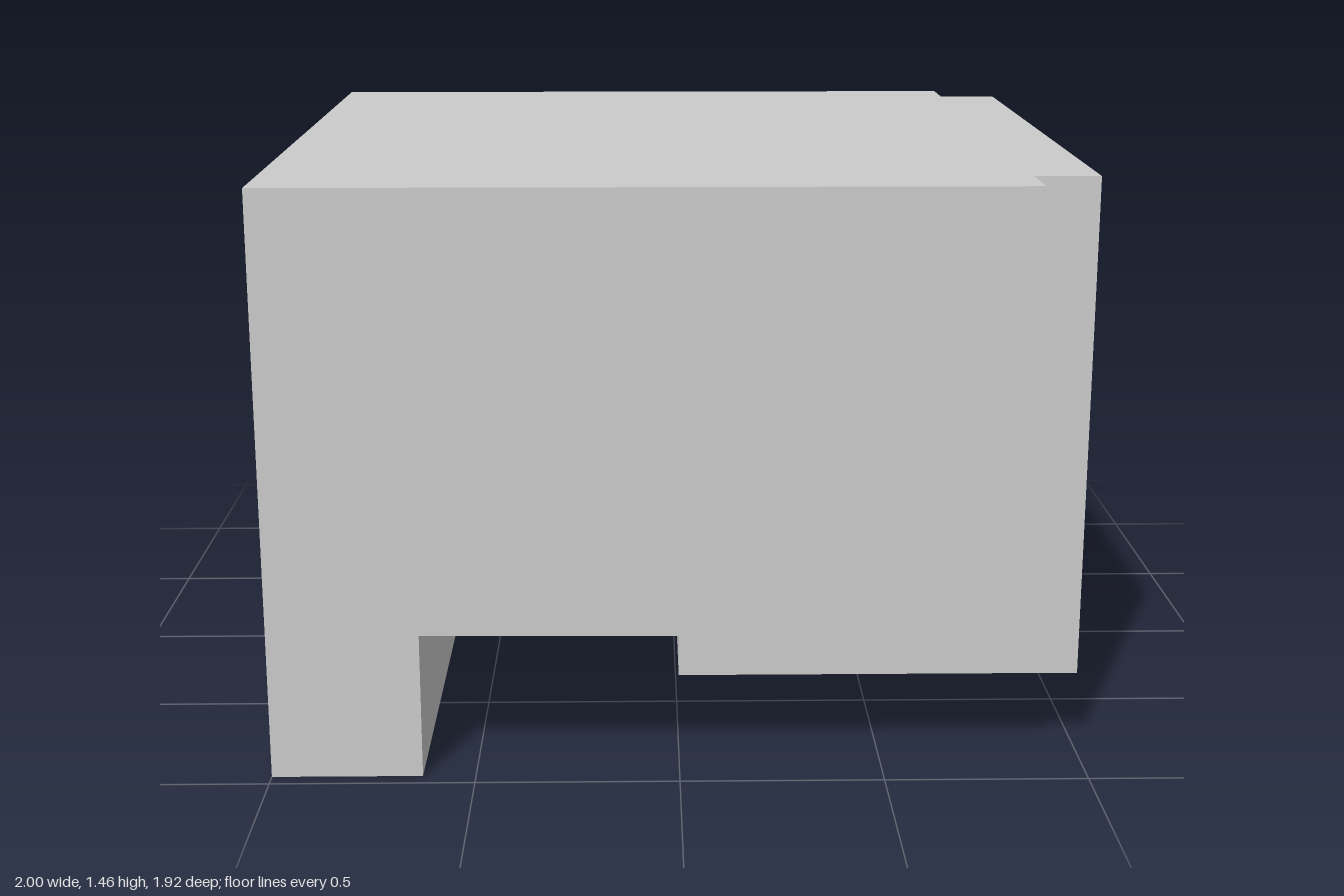
import * as THREE from 'three';

const material = new THREE.MeshStandardMaterial({ color: 0xcccccc, flatShading: true });
const HEIGHT = 1.455;
const OUTER = 0.96; // half depth of the housing
const INNER = 0.81; // half depth between the side walls

// Extrudes an x-y profile from z0 to z1
function slab(name, profile, z0, z1) {
  const shape = new THREE.Shape(profile.map(([x, y]) => new THREE.Vector2(x, y)));
  const geometry = new THREE.ExtrudeGeometry(shape, { depth: z1 - z0, bevelEnabled: false });
  geometry.translate(0, 0, z0);
  const mesh = new THREE.Mesh(geometry, material);
  mesh.name = name;
  return mesh;
}

export function createModel() {
  const group = new THREE.Group();
  group.name = 'hollowHousing';

  // Front and back walls, each with its share of the thick left foot
  const wall = [[-1, 0], [-0.63, 0], [-0.63, 0.365], [0.84, 0.357], [0.84, HEIGHT], [-1, HEIGHT]];
  group.add(slab('frontWall', wall, INNER, OUTER));
  group.add(slab('backWall', wall, -OUTER, -INNER));

  // Thick end wall and roof between the side walls
  const endAndRoof = [[-1, 0], [-0.63, 0], [-0.63, 1.3], [0.84, 1.3], [0.84, HEIGHT], [-1, HEIGHT]];
  group.add(slab('endWallAndRoof', endAndRoof, -INNER, INNER));

  // Narrower L-shaped panel: opposite end wall with a floor shelf turned inwards
  const panel = [[0, 0.2], [1, 0.2], [1, HEIGHT], [0.84, HEIGHT], [0.84, 0.353], [0, 0.353]];
  group.add(slab('endPanelAndShelf', panel, -INNER, INNER));

  return group;
}
